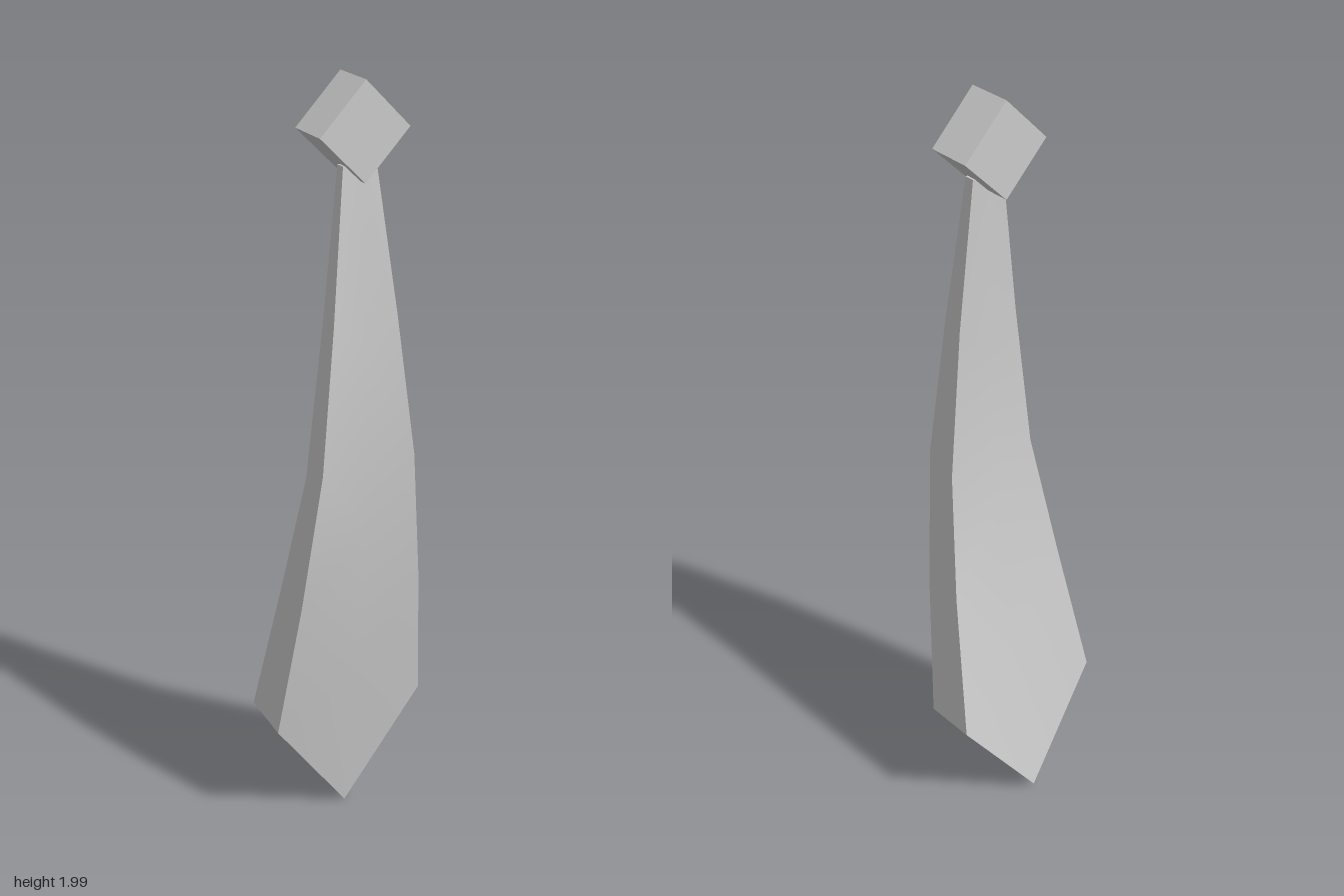
import * as THREE from 'three';

const material = new THREE.MeshStandardMaterial({ color: 0xcccccc });

// Smooth surface through rows of points (equal length rows)
function sheet(name, rows) {
  const n = rows[0].length;
  const index = [];
  for (let r = 0; r < rows.length - 1; r++) {
    for (let c = 0; c < n - 1; c++) {
      const a = r * n + c, b = a + 1, d = a + n, e = d + 1;
      // mirrored diagonals keep the two halves symmetric
      if (c < (n - 1) / 2) index.push(a, d, b, b, d, e);
      else index.push(a, d, e, a, e, b);
    }
  }
  const geometry = new THREE.BufferGeometry();
  geometry.setAttribute('position', new THREE.Float32BufferAttribute(rows.flat(2), 3));
  geometry.setIndex(index);
  geometry.computeVertexNormals();
  const mesh = new THREE.Mesh(geometry, material);
  mesh.name = name;
  return mesh;
}

export function createModel() {
  const group = new THREE.Group();
  group.name = 'necktie';

  // Knot: a square block standing on its corner
  const knot = new THREE.Mesh(new THREE.BoxGeometry(0.161, 0.161, 0.112), material);
  knot.name = 'knot';
  knot.rotation.z = Math.PI / 4;
  knot.position.set(0, 1.886, 0.046);
  group.add(knot);

  // Blade edge stations: half width, then y and z of front and back
  const edges = [
    [0.043, 1.81, 0.077, 1.81, 0.052],
    [0.085, 1.45, 0.109, 1.44, 0.056],
    [0.127, 1.09, 0.129, 1.05, 0.045],
    [0.17, 0.72, 0.095, 0.72, -0.016],
    [0.215, 0.325, 0.038, 0.335, -0.103],
  ];
  // Centre line: y and z of front and back, ending at the tip
  const centre = [
    [1.81, 0.077, 1.81, 0.052],
    [1.36, 0.105, 1.36, 0.05],
    [0.91, 0.113, 0.91, 0.03],
    [0.46, 0.072, 0.46, -0.04],
    [0.005, 0.01, 0.02, -0.131],
  ];
  const frontEdge = (s) => edges.map(([x, y, z]) => [s * x, y, z]);
  const backEdge = (s) => edges.map(([x, , , y, z]) => [s * x, y, z]);
  const frontMid = centre.map(([y, z]) => [0, y, z]);
  const backMid = centre.map(([, , y, z]) => [0, y, z]);
  const zip = (...columns) => columns[0].map((_, i) => columns.map((column) => column[i]));

  const blade = new THREE.Group();
  blade.name = 'blade';
  blade.add(
    sheet('bladeFront', zip(frontEdge(-1), frontMid, frontEdge(1))),
    sheet('bladeBack', zip(backEdge(1), backMid, backEdge(-1))),
    sheet('leftSide', zip(frontEdge(1), backEdge(1))),
    sheet('rightSide', zip(backEdge(-1), frontEdge(-1))),
    // Pointed lower rim, running round the tip
    sheet('tipRim', [
      [frontEdge(-1)[4], frontMid[4], frontEdge(1)[4]],
      [backEdge(-1)[4], backMid[4], backEdge(1)[4]],
    ]),
    // Top end, tucked into the knot
    sheet('topEnd', [
      [backEdge(-1)[0], backEdge(1)[0]],
      [frontEdge(-1)[0], frontEdge(1)[0]],
    ]),
  );
  group.add(blade);
  return group;
}
